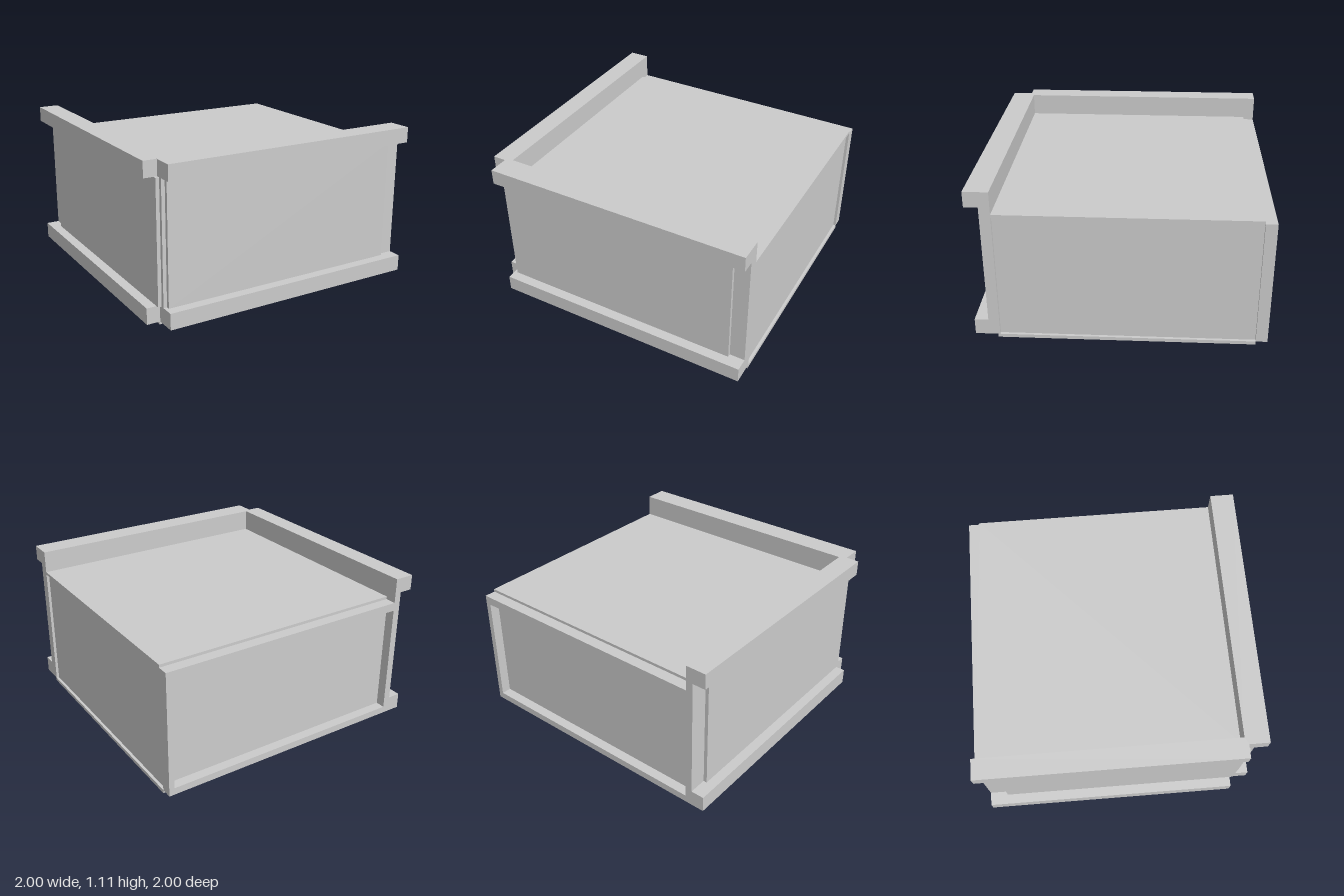
import * as THREE from 'three';

const material = new THREE.MeshStandardMaterial({ color: 0xcccccc });

// Box given by its limits on each axis
function block(name, [x0, x1], [y0, y1], [z0, z1]) {
  const mesh = new THREE.Mesh(new THREE.BoxGeometry(x1 - x0, y1 - y0, z1 - z0), material);
  mesh.position.set((x0 + x1) / 2, (y0 + y1) / 2, (z0 + z1) / 2);
  mesh.name = name;
  return mesh;
}

// Plan outline of [x, z] points raised from y0 to y1
function raisedPlan(name, points, y0, y1) {
  const shape = new THREE.Shape(points.map(([x, z]) => new THREE.Vector2(x, -z)));
  const geometry = new THREE.ExtrudeGeometry(shape, { depth: y1 - y0, bevelEnabled: false });
  geometry.rotateX(-Math.PI / 2);
  const mesh = new THREE.Mesh(geometry, material);
  mesh.position.y = y0;
  mesh.name = name;
  return mesh;
}

// Upright frame with a rectangular opening, facing z
function frame(name, [x0, x1], [y0, y1], [z0, z1], [hx0, hx1], [hy0, hy1]) {
  const rect = (a, b, c, d) => [[a, c], [b, c], [b, d], [a, d]].map(p => new THREE.Vector2(...p));
  const shape = new THREE.Shape(rect(x0, x1, y0, y1));
  shape.holes.push(new THREE.Path(rect(hx0, hx1, hy0, hy1)));
  const mesh = new THREE.Mesh(
    new THREE.ExtrudeGeometry(shape, { depth: z1 - z0, bevelEnabled: false }), material);
  mesh.position.z = z0;
  mesh.name = name;
  return mesh;
}

export function createModel() {
  const group = new THREE.Group();
  group.name = 'roomModule';

  // L-shaped bands with a notched outer corner, running along the front and one side
  const band = [
    [-1, -1], [-0.855, -1], [-0.855, 0.83], [1, 0.83],
    [1, 1], [-0.905, 1], [-0.905, 0.855], [-1, 0.855],
  ];
  group.add(raisedPlan('lowerBand', band, 0.025, 0.14));
  group.add(raisedPlan('parapet', band, 1.0, 1.11));

  // Set-back wall between the bands
  const wall = [
    [-0.905, -1], [-0.855, -1], [-0.855, 0.83], [1, 0.83], [1, 0.905], [-0.905, 0.905],
  ];
  group.add(raisedPlan('outerWall', wall, 0.14, 1.0));

  // Cladding panels standing slightly proud of the wall
  group.add(block('frontPanel', [-0.88, 0.89], [0.14, 1.0], [0.9, 0.93]));
  group.add(block('sidePanel', [-0.93, -0.9], [0.14, 1.0], [-0.87, 0.88]));

  // Floor and roof slabs
  group.add(block('floorSlab', [-0.905, 1], [0, 0.025], [-0.92, 0.845]));
  group.add(block('roofSlab', [-0.855, 1], [0.93, 0.95], [-0.92, 0.83]));

  // Back frame with its recessed panel
  group.add(frame('backFrame', [-0.855, 1], [0.025, 0.93], [-1, -0.92],
    [-0.854, 0.96], [0.075, 0.87]));
  group.add(block('backPanel', [-0.855, 0.97], [0.03, 0.93], [-0.93, -0.9]));

  // Slightly recessed panel on the open side
  group.add(block('recessedSidePanel', [0.95, 0.98], [0.025, 0.93], [-0.92, 0.83]));

  return group;
}
